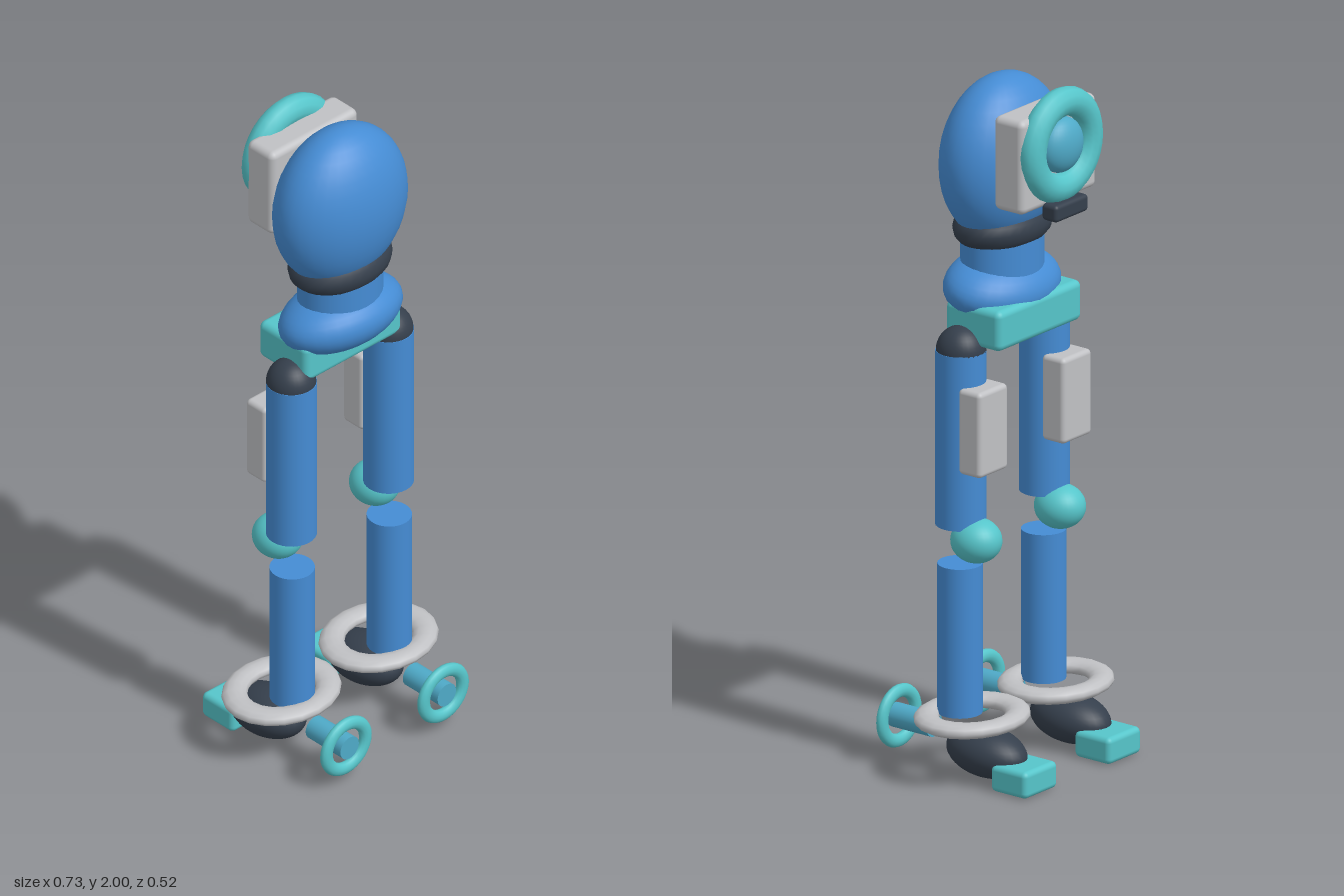
import * as THREE from 'three';
import { RoundedBoxGeometry } from 'three/addons/geometries/RoundedBoxGeometry.js';

function material(name, color) {
  const m = new THREE.MeshStandardMaterial({ color });
  m.name = name;
  return m;
}

export function createModel() {
  const blue = material('blue', 0x458cd4);
  const dark = material('charcoal', 0x353f4c);
  const teal = material('teal', 0x56c5ca);
  const grey = material('light grey', 0xc0c1c4);
  const cyan = material('cyan', 0x4faac8);

  const root = new THREE.Group();
  root.name = 'robot';

  function add(parent, name, geometry, mat, [x, y, z], scale = [1, 1, 1]) {
    const mesh = new THREE.Mesh(geometry, mat);
    mesh.name = name;
    mesh.position.set(x, y, z);
    mesh.scale.set(...scale);
    parent.add(mesh);
    return mesh;
  }
  const ball = (parent, name, mat, pos, radii) =>
    add(parent, name, new THREE.SphereGeometry(1, 32, 20), mat, pos, radii);
  const box = (parent, name, mat, pos, [w, h, d], r) =>
    add(parent, name, new RoundedBoxGeometry(w, h, d, 3, r), mat, pos);
  const rod = (parent, name, mat, pos, r, h) =>
    add(parent, name, new THREE.CylinderGeometry(r, r, h, 28), mat, pos);
  const ring = (parent, name, mat, pos, R, r, scale, seg = 32) =>
    add(parent, name, new THREE.TorusGeometry(R, r, 12, seg), mat, pos, scale);

  // Upper body
  const body = new THREE.Group();
  body.name = 'body';
  root.add(body);
  ball(body, 'chest', blue, [0, 1.757, 0.026], [0.22, 0.243, 0.145]);
  const waist = ring(body, 'waistRing', dark, [0, 1.565, 0.026], 0.12, 0.045, [1, 0.73, 1]);
  waist.rotation.x = Math.PI / 2;
  rod(body, 'abdomen', blue, [0, 1.5, 0.027], 1, 0.16).scale.set(0.13, 1, 0.108);
  const hips = ball(body, 'hips', blue, [0, 1.387, 0.028], [0.2, 0.095, 0.138]);
  hips.rotation.x = -0.2;
  box(body, 'pelvis', teal, [0, 1.315, -0.013], [0.37, 0.118, 0.195], 0.02);

  // Backpack with round vent
  const pack = new THREE.Group();
  pack.name = 'backpack';
  root.add(pack);
  box(pack, 'packCase', grey, [0, 1.803, -0.124], [0.333, 0.275, 0.106], 0.02);
  ring(pack, 'packRing', teal, [0, 1.835, -0.18], 0.125, 0.042, [1, 0.99, 0.9]);
  ball(pack, 'packCore', cyan, [0, 1.835, -0.18], [0.08, 0.08, 0.049]);
  box(pack, 'packLatch', dark, [0, 1.655, -0.195], [0.145, 0.05, 0.055], 0.012);

  // Legs: the same parts on both sides
  for (const [side, x] of [['left', 0.185], ['right', -0.185]]) {
    const leg = new THREE.Group();
    leg.name = side + 'Leg';
    leg.position.x = x;
    root.add(leg);
    ball(leg, 'hipJoint', dark, [0, 1.24, 0.025], [0.07, 0.07, 0.07]);
    rod(leg, 'thigh', blue, [0, 0.985, 0.026], 0.071, 0.51);
    box(leg, 'thighPanel', grey, [0, 1.025, -0.053], [0.128, 0.25, 0.08], 0.014);
    ball(leg, 'knee', teal, [0, 0.693, -0.029], [0.07, 0.064, 0.074]);
    rod(leg, 'shin', blue, [0, 0.397, 0.029], 0.063, 0.436);

    // Ankle ring and foot
    const ankle = ring(leg, 'ankleRing', grey, [0, 0.177, -0.014], 0.14, 0.039, [1, 0.85, 0.55], 20);
    ankle.rotation.x = Math.PI / 2;
    const foot = ball(leg, 'foot', dark, [0, 0.083, -0.067], [0.085, 0.07, 0.128]);
    foot.rotation.x = -0.08;
    box(leg, 'heel', teal, [0, 0.039, -0.198], [0.146, 0.078, 0.127], 0.016);

    // Forward nozzle with rim
    const nozzle = rod(leg, 'nozzle', cyan, [0, 0.12, 0.19], 0.035, 0.14);
    nozzle.rotation.x = Math.PI / 2;
    ring(leg, 'nozzleRim', teal, [0, 0.12, 0.245], 0.074, 0.02, [1, 0.97, 0.75]);
  }
  return root;
}
